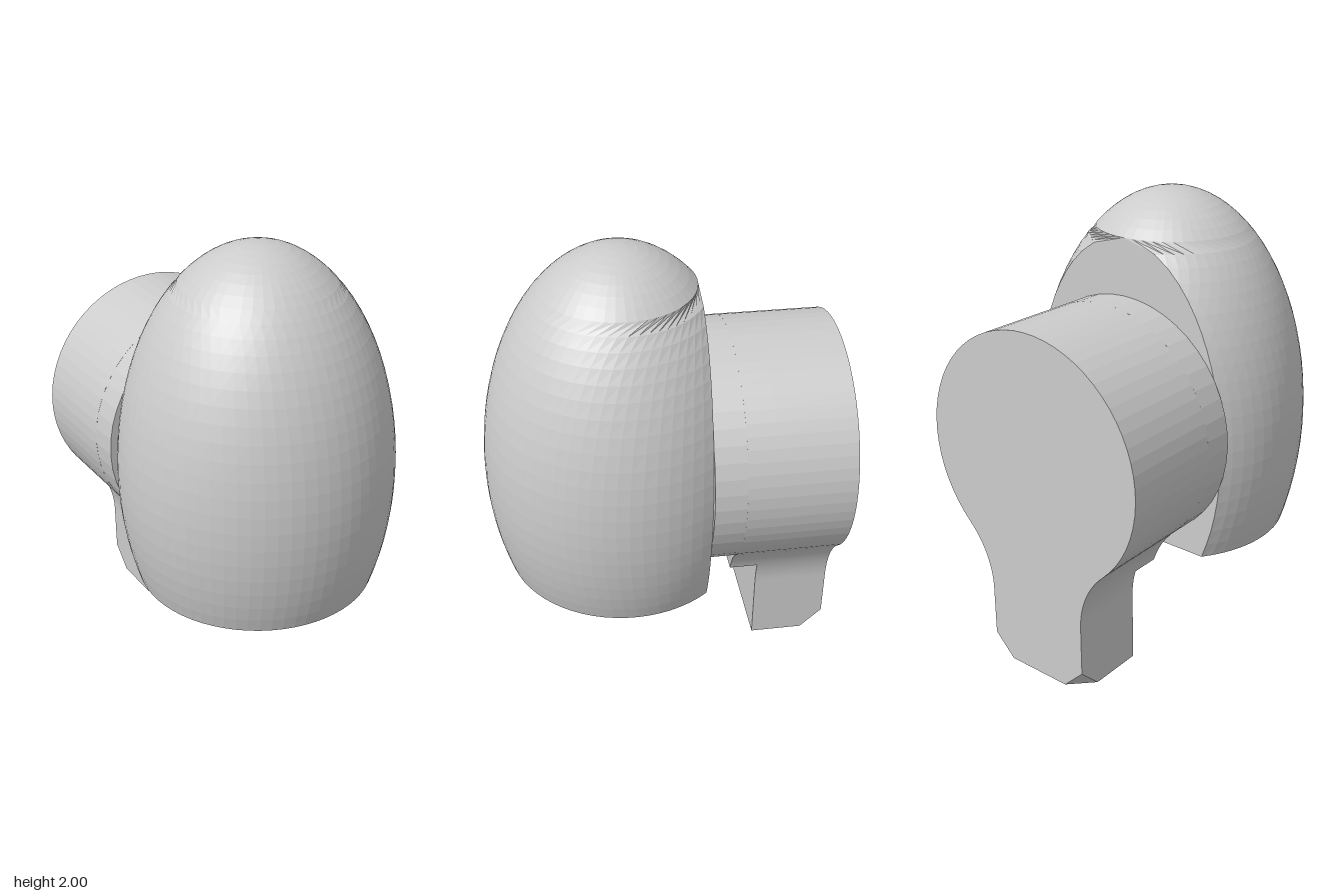
import * as THREE from 'three';
import { ConvexGeometry } from 'three/addons/geometries/ConvexGeometry.js';

const material = new THREE.MeshStandardMaterial({ color: 0xcccccc, flatShading: true });

// Ellipsoid cut flat underneath and behind, made of stacked arcs closed by a chord
function eggGeometry() {
  const R = 0.62, H = 1.05, cy = 0.95, cz = 0.165, cut = 0.335, bottom = 0.455;
  const arc = 48, levels = 28;
  const t0 = Math.asin((bottom - cy) / H), tCut = Math.acos(cut / R);
  const pos = [], idx = [];
  for (let i = 0; i <= levels; i++) {
    // one level falls exactly where the rear cut ends
    const t = i <= 20 ? t0 + (tCut - t0) * i / 20
      : tCut + (Math.PI / 2 - tCut) * (i - 20) / (levels - 20);
    const r = R * Math.cos(t), y = cy + H * Math.sin(t);
    const a = r > cut ? Math.acos(-cut / r) : Math.PI;
    for (let j = 0; j <= arc; j++) {
      const th = -a + 2 * a * j / arc;
      pos.push(r * Math.sin(th), y, cz + r * Math.cos(th));
    }
  }
  const n = arc + 1;
  for (let i = 0; i < levels; i++) {
    for (let j = 0; j < n; j++) {
      const k = (j + 1) % n;
      const a = i * n + j, b = i * n + k, c = a + n, d = b + n;
      idx.push(a, b, d, a, d, c);
    }
  }
  // flat underside
  for (let j = 1; j < arc; j++) idx.push(0, j + 1, j);
  const g = new THREE.BufferGeometry();
  g.setAttribute('position', new THREE.Float32BufferAttribute(pos, 3));
  g.setIndex(idx);
  const flat = g.toNonIndexed();
  flat.computeVertexNormals();
  return flat;
}

const CY = 1.025, RADIUS = 0.555;          // round drum
const FX = 0.658, FY = 0.33, FR = 0.402;   // fillets running into the neck
const NECK = FX - FR;

// Round top flowing through concave fillets into a neck, cut level at the bottom
function keyholeShape(bottom) {
  const join = Math.atan2(CY - FY, FX), start = Math.asin((bottom - FY) / FR);
  const s = new THREE.Shape();
  s.moveTo(FX - FR * Math.cos(start), bottom);
  s.absarc(FX, FY, FR, Math.PI - start, Math.PI - join, true);
  s.absarc(0, CY, RADIUS, -join, Math.PI + join, false);
  s.absarc(-FX, FY, FR, join, start, true);
  s.closePath();
  return s;
}

function slab(shape, back, front) {
  return new THREE.ExtrudeGeometry(shape, { depth: front - back, bevelEnabled: false, curveSegments: 24 })
    .translate(0, 0, back);
}

// Foot block with its two lower rear corners cut off
function footGeometry() {
  const back = -0.785, front = -0.44, c = 0.1, pts = [];
  for (const s of [-1, 1]) {
    const x = s * NECK;
    pts.push(
      new THREE.Vector3(x, FY, back), new THREE.Vector3(x, FY, front), new THREE.Vector3(x, 0, front),
      new THREE.Vector3(x, c, back), new THREE.Vector3(x, 0, back + c), new THREE.Vector3(x - s * c, 0, back));
  }
  return new ConvexGeometry(pts);
}

export function createModel() {
  const group = new THREE.Group();
  const add = (name, geometry) => {
    const mesh = new THREE.Mesh(geometry, material);
    mesh.name = name;
    group.add(mesh);
  };
  add('eggHead', eggGeometry());
  // round drum behind the head
  const disc = new THREE.Shape().absarc(0, CY, RADIUS, 0, Math.PI * 2, false);
  add('drum', slab(disc, -0.31, -0.17));
  // stepped neck, then the full-height stem
  add('neckStep', slab(keyholeShape(0.45), -0.44, -0.31));
  add('stem', slab(keyholeShape(FY), -0.785, -0.44));
  add('foot', footGeometry());
  return group;
}
